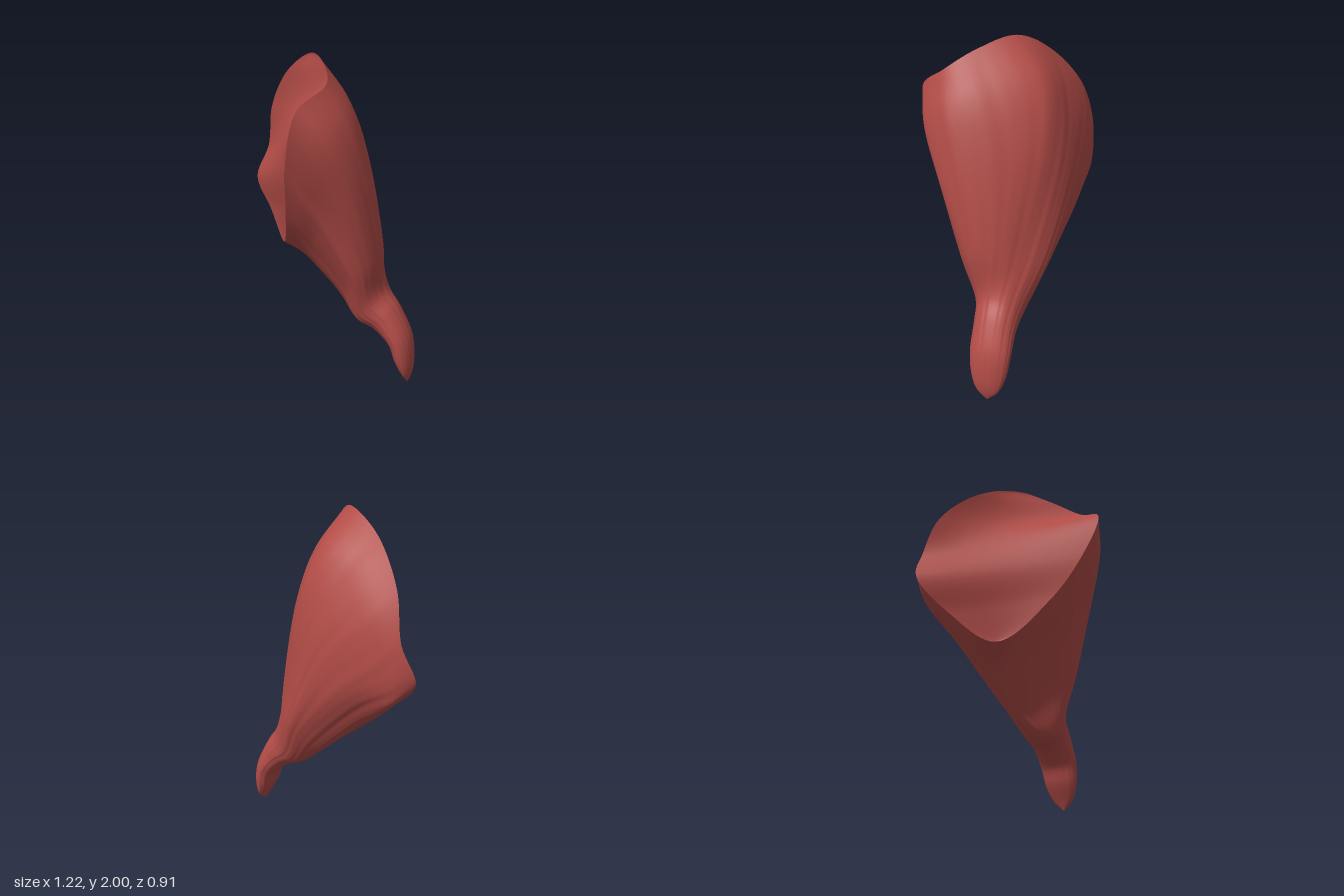
import * as THREE from 'three';

const AROUND = 120, ALONG = 60, FIBRES = 12;

// Cross-sections of the fan, 12 fibres each: outer corner, over the top, front crease, underside
const rim = [
  [-0.612, 1.18, -0.385], [-0.54, 1.39, -0.42], [-0.48, 1.65, -0.36], [-0.3, 1.88, -0.22],
  [-0.06, 2, -0.07], [0.1, 1.94, 0.1], [0.19, 1.83, 0.27], [0.1, 1.7, 0.45],
  [0, 1.4, 0.39], [-0.09, 1.1, 0.21], [-0.25, 0.83, -0.07], [-0.45, 0.99, -0.27],
];
const shoulder = [
  [-0.5, 1.08, -0.41], [-0.47, 1.27, -0.44], [-0.34, 1.49, -0.425], [-0.17, 1.7, -0.335],
  [0.03, 1.78, -0.26], [0.2, 1.73, -0.05], [0.3, 1.64, 0.19], [0.23, 1.52, 0.385],
  [0.07, 1.25, 0.32], [-0.03, 0.99, 0.15], [-0.15, 0.75, -0.14], [-0.36, 0.91, -0.3],
];
const middle = [
  [-0.3, 0.96, -0.38], [-0.22, 1.07, -0.44], [-0.1, 1.25, -0.44], [0, 1.4, -0.4],
  [0.13, 1.5, -0.32], [0.265, 1.45, -0.15], [0.37, 1.35, 0.09], [0.33, 1.25, 0.26],
  [0.17, 1.08, 0.24], [0.05, 0.86, 0.08], [-0.03, 0.65, -0.14], [-0.2, 0.79, -0.29],
];
const lower = [
  [0.08, 0.6, -0.275], [0.13, 0.7, -0.34], [0.19, 0.78, -0.365], [0.25, 0.83, -0.325],
  [0.315, 0.86, -0.245], [0.385, 0.88, -0.15], [0.427, 0.86, -0.02], [0.39, 0.8, 0.085],
  [0.3, 0.74, 0.125], [0.22, 0.64, 0.04], [0.14, 0.51, -0.11], [0.09, 0.52, -0.2],
];

// Tendon cross-sections: tilted ellipses [centre x, y, z, half-width x, y, half-depth z]
const tendon = [
  [0.345, 0.49, -0.12, 0.09, 0.11, 0.145],
  [0.435, 0.41, -0.125, 0.075, 0.075, 0.127],
  [0.525, 0.28, -0.13, 0.065, 0.03, 0.123],
  [0.555, 0.15, -0.13, 0.055, 0, 0.105],
  [0.575, 0.06, -0.13, 0.026, 0, 0.066],
  [0.58, 0, -0.13, 0, 0, 0],
].map(([x, y, z, wx, wy, wz]) => Array.from({ length: FIBRES }, (_, k) => {
  const a = (k - 5) * Math.PI / 6, c = Math.cos(a);
  return [x + wx * c, y + wy * c, z + wz * Math.sin(a)];
}));

// Smooth closed loop through one cross-section
function sampleLoop(loop) {
  const curve = new THREE.CatmullRomCurve3(loop.map((p) => new THREE.Vector3(...p)), true);
  return Array.from({ length: AROUND }, (_, i) => curve.getPoint(i / AROUND));
}

// Joins rows of points into a surface, optionally closed around
function skin(rows, closed) {
  const index = [], width = rows[0].length;
  for (let j = 0; j < rows.length - 1; j++) {
    for (let i = 0; i < (closed ? width : width - 1); i++) {
      const a = j * width + i, b = j * width + (i + 1) % width;
      index.push(a, b, a + width, b, b + width, a + width);
    }
  }
  const g = new THREE.BufferGeometry().setFromPoints(rows.flat());
  g.setIndex(index);
  g.computeVertexNormals();
  return g;
}

export function createModel() {
  const group = new THREE.Group();
  group.name = 'fanMuscle';
  const red = new THREE.MeshStandardMaterial({ color: 0xb24c47 });
  red.name = 'muscleRed';

  // Fibres run from the rim through every section down to the tendon tip
  const loops = [rim, shoulder, middle, lower, ...tendon].map(sampleLoop);
  const columns = Array.from({ length: AROUND }, (_, i) =>
    new THREE.CatmullRomCurve3(loops.map((l) => l[i])));
  const rows = [];
  for (let j = 0; j <= ALONG; j++) {
    const t = j / ALONG;
    const row = columns.map((c) => c.getPoint(t));
    const centre = row.reduce((s, p) => s.add(p), new THREE.Vector3()).divideScalar(AROUND);
    // Shallow grooves that follow the fibres and fade at both ends
    row.forEach((p, i) => {
      const a = i / AROUND * Math.PI * 2;
      const wave = Math.sin(a * 17 + 3 * t) + 0.7 * Math.sin(a * 29 - 4 * t) + 0.5 * Math.sin(a * 11);
      p.lerp(centre, 0.007 * Math.sin(Math.PI * t) * wave);
    });
    rows.push(row);
  }
  const body = new THREE.Mesh(skin(rows, true), red);
  body.name = 'muscleBody';
  group.add(body);

  // Slightly hollow attachment face, ruled across the rim from outer edge to crease
  const edge = rows[0], bottom = 100, half = AROUND / 2, across = 12;
  const faceRows = [];
  for (let k = 0; k <= half; k++) {
    const outer = edge[(bottom + k) % AROUND], crease = edge[bottom - k];
    const depth = 0.035 * Math.sin(Math.PI * k / half);
    faceRows.push(Array.from({ length: across + 1 }, (_, i) => {
      const s = i / across, dip = depth * Math.sin(Math.PI * s);
      const p = outer.clone().lerp(crease, s);
      p.x += dip;
      p.z -= dip;
      return p;
    }));
  }
  const face = new THREE.Mesh(skin(faceRows, false), red);
  face.name = 'attachmentFace';
  group.add(face);

  return group;
}
